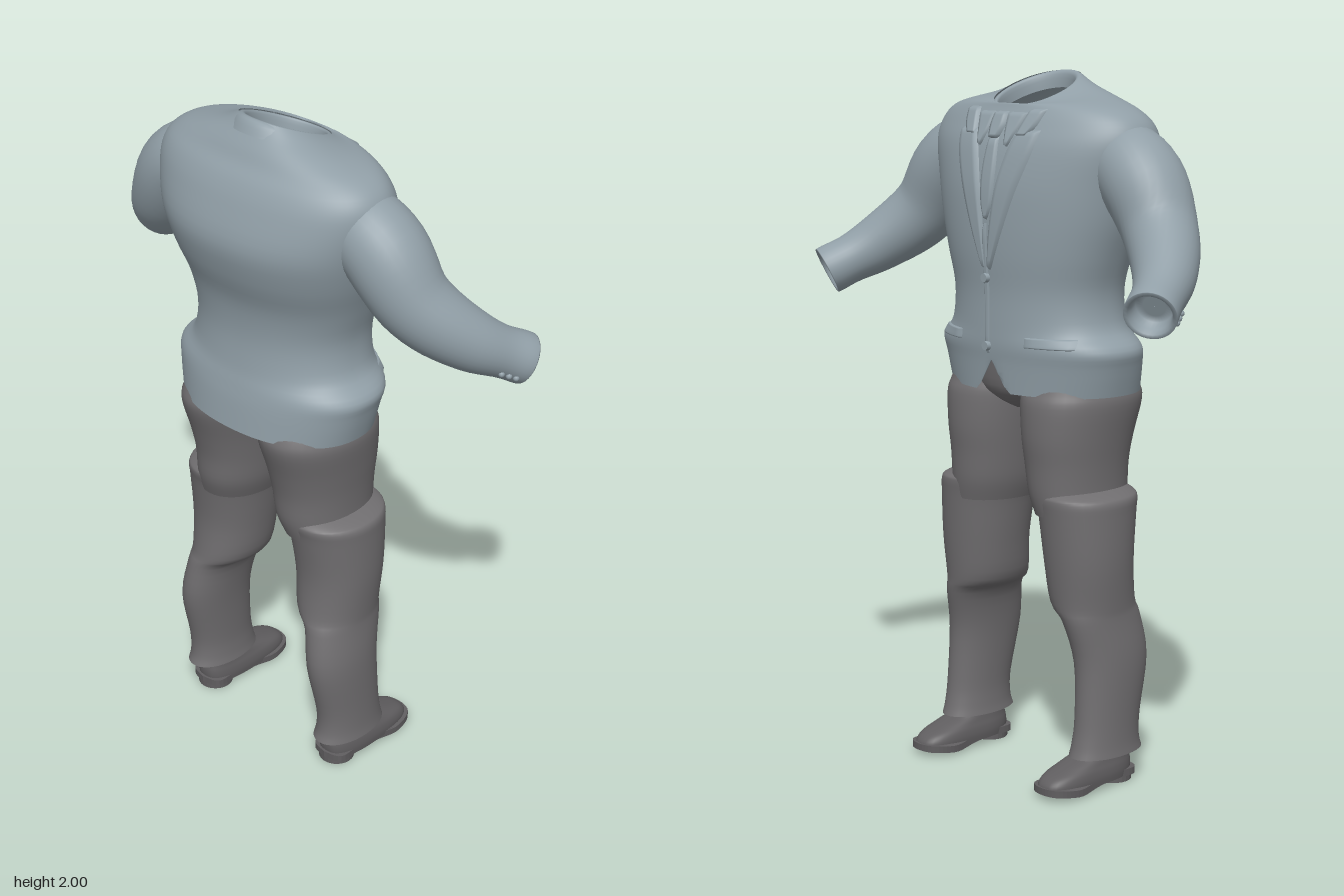
import * as THREE from 'three';

const mat = (name, color) => {
  const m = new THREE.MeshStandardMaterial({ color, side: THREE.DoubleSide });
  m.name = name;
  return m;
};

// Catmull-Rom resampling of the rows of a small section table
function resample(rows, k) {
  const out = [], n = rows.length;
  for (let i = 0; i < n - 1; i++) {
    const a = rows[Math.max(i - 1, 0)], b = rows[i], c = rows[i + 1], d = rows[Math.min(i + 2, n - 1)];
    for (let s = 0; s < k; s++) {
      const t = s / k;
      out.push(b.map((_, j) => b[j] + 0.5 * t * (c[j] - a[j] +
        t * (2 * a[j] - 5 * b[j] + 4 * c[j] - d[j] + t * (3 * (b[j] - c[j]) + d[j] - a[j])))));
    }
  }
  out.push(rows[n - 1]);
  return out;
}

// Skin a list of point rows; closed rows wrap around
function skin(rings, closed = true) {
  const n = rings[0].length, pos = [], idx = [], cols = closed ? n : n - 1;
  rings.forEach(r => r.forEach(p => pos.push(p.x, p.y, p.z)));
  for (let i = 0; i < rings.length - 1; i++) {
    for (let j = 0; j < cols; j++) {
      const a = i * n + j, b = i * n + (j + 1) % n, c = a + n, d = b + n;
      idx.push(a, c, b, b, c, d);
    }
  }
  const g = new THREE.BufferGeometry();
  g.setAttribute('position', new THREE.Float32BufferAttribute(pos, 3));
  g.setIndex(idx);
  g.computeVertexNormals();
  return g;
}

// Superellipse ring from [y, xBack, xFront, zMin, zMax, tilt]
function ring([y, xb, xf, z0, z1, tilt = 0], n, power) {
  const sp = v => Math.sign(v) * Math.abs(v) ** (2 / power);
  return Array.from({ length: n }, (_, j) => {
    const a = j / n * Math.PI * 2;
    const dx = sp(Math.cos(a)) * (xf - xb) / 2;
    return new THREE.Vector3((xb + xf) / 2 + dx, y + tilt * dx,
      (z0 + z1) / 2 + sp(Math.sin(a)) * (z1 - z0) / 2);
  });
}
const loft = (rows, k = 4, n = 40, power = 2.1) => skin(resample(rows, k).map(r => ring(r, n, power)));

export function createModel() {
  const model = new THREE.Group();
  model.name = 'suit';
  const jacket = mat('blue grey cloth', 0x919fa7);
  const cloth = mat('dark grey cloth', 0x706e70);
  const leather = mat('shoe grey', 0x605e60);
  const add = (name, geo, m, parent = model) => {
    const mesh = new THREE.Mesh(geo, m);
    mesh.name = name;
    parent.add(mesh);
    return mesh;
  };

  // Jacket body: y, back, front, half width, tilt
  const bodyRows = [
    [1.12, -0.252, 0.16, 0.305, 0], [1.2, -0.242, 0.165, 0.325, 0], [1.25, -0.232, 0.17, 0.332, 0],
    [1.305, -0.22, 0.17, 0.28, 0], [1.4, -0.212, 0.17, 0.268, 0], [1.5, -0.225, 0.178, 0.295, 0],
    [1.6, -0.262, 0.18, 0.33, 0], [1.7, -0.283, 0.175, 0.358, 0], [1.8, -0.257, 0.155, 0.382, 0],
    [1.86, -0.23, 0.13, 0.37, 0], [1.9, -0.2, 0.11, 0.325, 0], [1.925, -0.18, 0.103, 0.25, -0.07],
    [1.942, -0.155, 0.1, 0.17, -0.22], [1.955, -0.135, 0.1, 0.12, -0.38],
  ].map(([y, b, f, h, t]) => [y, b, f, -h, h, t]);
  const bodyGeo = loft(bodyRows, 4, 96, 2.2);
  const bp = bodyGeo.attributes.position;
  for (let i = 0; i < bp.count; i++) {
    // cutaway at the front of the hem
    const f = Math.max(0, 1 - Math.abs(bp.getZ(i)) / 0.06);
    if (bp.getX(i) > 0 && f > 0) bp.setY(i, Math.max(bp.getY(i), 1.12 + 0.09 * f));
  }
  bodyGeo.computeVertexNormals();
  const body = add('jacketBody', bodyGeo, jacket);

  // Standing collar with a folded outer leaf
  add('collar', loft([
    [1.925, -0.165, 0.108, -0.145, 0.145, -0.3], [1.945, -0.15, 0.11, -0.128, 0.128, -0.37],
    [1.953, -0.134, 0.104, -0.113, 0.113, -0.4], [1.945, -0.122, 0.096, -0.104, 0.104, -0.4],
    [1.91, -0.12, 0.088, -0.102, 0.102, -0.4],
  ], 3, 48, 2), jacket);

  // Raised panel draped on the jacket front, edges sunk; rows of [y, z0, z1]
  const caster = new THREE.Raycaster();
  const front = (y, z) => {
    caster.set(new THREE.Vector3(1, y, z), new THREE.Vector3(-1, 0, 0));
    return caster.intersectObject(body)[0].point.x;
  };
  const panel = (name, rows, height, side = 1) => {
    const cols = 8, fine = resample(rows, 5);
    const pts = fine.map(([y, z0, z1], i) => Array.from({ length: cols + 1 }, (_, j) => {
      const z = (z0 + (z1 - z0) * j / cols) * side;
      const edge = j === 0 || j === cols || i === 0 || i === fine.length - 1;
      return new THREE.Vector3(front(y, z) + (edge ? -0.003 : height), y, z);
    }));
    if (side < 0) pts.forEach(r => r.reverse());
    add(name, skin(pts, false), jacket);
  };
  panel('tie', [[1.6, -0.002, 0.002], [1.65, -0.022, 0.022], [1.74, -0.027, 0.027],
    [1.83, -0.018, 0.018]], 0.008);
  panel('tieKnot', [[1.82, -0.015, 0.015], [1.86, -0.028, 0.028], [1.895, -0.024, 0.024]], 0.014);
  panel('frontEdge', [[1.22, -0.002, 0.012], [1.4, -0.002, 0.014], [1.6, -0.002, 0.012]], 0.006);
  for (const s of [1, -1]) {
    panel('lapel', [[1.46, 0.004, 0.012], [1.56, 0.01, 0.055], [1.68, 0.025, 0.105],
      [1.78, 0.05, 0.145], [1.85, 0.078, 0.16]], 0.009, s);
    panel('lapelCollar', [[1.83, 0.078, 0.115], [1.86, 0.085, 0.14], [1.905, 0.1, 0.155]], 0.011, s);
    panel('shirtCollar', [[1.8, 0.05, 0.056], [1.85, 0.03, 0.08], [1.895, 0.018, 0.1]], 0.008, s);
    panel('pocketFlap', [[1.255, 0.12, 0.27], [1.27, 0.12, 0.27], [1.285, 0.12, 0.265]], 0.007, s);
  }
  // Buttons
  for (const y of [1.25, 1.44]) {
    const b = add('button', new THREE.CylinderGeometry(0.012, 0.014, 0.012, 16), jacket);
    b.rotation.z = -Math.PI / 2;
    b.position.set(front(y, 0.005) + 0.008, y, 0.005);
  }

  // Sleeves: rows of [position along the arm, radius], turned inward at the cuff
  const up = new THREE.Vector3(0, 1, 0);
  for (const s of [1, -1]) {
    const path = new THREE.CatmullRomCurve3([[-0.045, 1.8, 0.25], [-0.04, 1.725, 0.37], [-0.015, 1.59, 0.47],
      [0.08, 1.485, 0.575], [0.218, 1.405, 0.655]].map(([x, y, z]) => new THREE.Vector3(x, y, z * s)));
    const rows = resample([[0, 0.09], [0.12, 0.112], [0.27, 0.117], [0.45, 0.104], [0.6, 0.095],
      [0.75, 0.083], [0.88, 0.071], [0.97, 0.072], [1, 0.071]], 4);
    rows.push([0.998, 0.06], [0.97, 0.055], [0.93, 0.05], [0.93, 0.03], [0.93, 0.001]);
    add('sleeve', skin(rows.map(([t, r]) => {
      const p = path.getPointAt(t), d = path.getTangentAt(t);
      const n = d.clone().cross(up).normalize(), b = n.clone().cross(d);
      return Array.from({ length: 32 }, (_, j) => {
        const a = j / 32 * Math.PI * 2;
        return p.clone().addScaledVector(n, r * Math.cos(a)).addScaledVector(b, r * Math.sin(a));
      });
    })), jacket);
    // Cuff buttons on the outer forearm
    for (let i = 0; i < 3; i++) {
      const t = 0.88 + i * 0.035, d = path.getTangentAt(t);
      const out = new THREE.Vector3(-0.4, -0.6, 0.7 * s);
      out.addScaledVector(d, -out.dot(d)).normalize();
      add('cuffButton', new THREE.SphereGeometry(0.009, 10, 8), jacket)
        .position.copy(path.getPointAt(t)).addScaledVector(out, 0.071);
    }
  }

  // Trouser seat, closed at the crotch
  add('trouserSeat', loft([[1.06, -0.1, 0.05, -0.001, 0.001], [1.066, -0.13, 0.07, -0.04, 0.04],
    [1.09, -0.185, 0.105, -0.13, 0.13], [1.13, -0.215, 0.13, -0.23, 0.23],
    [1.22, -0.21, 0.14, -0.27, 0.27]]), cloth);

  // Legs and shoes, mirrored: y, back, front, inner, outer
  const mirror = (rows, s) => rows.map(([y, b, f, i, o]) => s > 0 ? [y, b, f, i, o] : [y, b, f, -o, -i]);
  for (const s of [1, -1]) {
    add('upperLeg', loft(mirror([[0.78, -0.16, 0.125, 0.065, 0.28], [0.84, -0.178, 0.136, 0.045, 0.274],
      [0.92, -0.185, 0.142, 0.032, 0.277], [1.0, -0.203, 0.15, 0.02, 0.286],
      [1.09, -0.23, 0.148, 0.006, 0.297], [1.13, -0.225, 0.135, 0.004, 0.29],
      [1.17, -0.2, 0.12, 0.01, 0.28]], s)), cloth);
    add('lowerLeg', loft(mirror([[0.095, -0.15, 0.1, 0.195, 0.342], [0.13, -0.14, 0.09, 0.2, 0.338],
      [0.2, -0.143, 0.08, 0.202, 0.336], [0.36, -0.176, 0.075, 0.19, 0.335], [0.48, -0.163, 0.1, 0.165, 0.322],
      [0.53, -0.152, 0.108, 0.115, 0.322], [0.65, -0.143, 0.12, 0.095, 0.33], [0.78, -0.158, 0.13, 0.077, 0.33],
      [0.825, -0.168, 0.134, 0.062, 0.328], [0.84, -0.165, 0.13, 0.065, 0.31],
      [0.855, -0.15, 0.11, 0.08, 0.265]], s)), cloth);

    const shoe = new THREE.Group();
    shoe.name = 'shoe';
    shoe.position.z = 0.26 * s;
    model.add(shoe);
    add('shoeUpper', loft([[0.02, -0.108, 0.21, -0.063, 0.063], [0.04, -0.112, 0.21, -0.064, 0.064],
      [0.06, -0.112, 0.188, -0.061, 0.061], [0.078, -0.108, 0.135, -0.055, 0.055],
      [0.1, -0.102, 0.07, -0.05, 0.05], [0.14, -0.098, 0.045, -0.046, 0.046]], 4, 40, 2.8), leather, shoe);
    // Sole outline, narrower at the arch
    const sole = new THREE.Shape(new THREE.SplineCurve([[-0.12, 0], [-0.1, 0.054], [-0.02, 0.055], [0.06, 0.06],
      [0.14, 0.069], [0.2, 0.05], [0.217, 0], [0.2, -0.05], [0.14, -0.069], [0.06, -0.06], [-0.02, -0.055],
      [-0.1, -0.054], [-0.12, 0]].map(p => new THREE.Vector2(...p))).getPoints(60));
    const soleGeo = new THREE.ExtrudeGeometry(sole, { depth: 0.02, bevelEnabled: false }).rotateX(-Math.PI / 2);
    const sp = soleGeo.attributes.position;
    for (let i = 0; i < sp.count; i++) { // tread bends down under the ball of the foot
      const x = sp.getX(i);
      sp.setY(i, sp.getY(i) + 0.018 - 0.01 * Math.exp(-(((x - 0.12) / 0.06) ** 2)));
    }
    soleGeo.computeVertexNormals();
    add('sole', soleGeo, leather, shoe);
    const heel = new THREE.Shape().absellipse(-0.065, 0, 0.053, 0.053, 0, Math.PI * 2);
    add('heel', new THREE.ExtrudeGeometry(heel, { depth: 0.022, bevelEnabled: false })
      .rotateX(-Math.PI / 2), leather, shoe);
  }
  return model;
}
